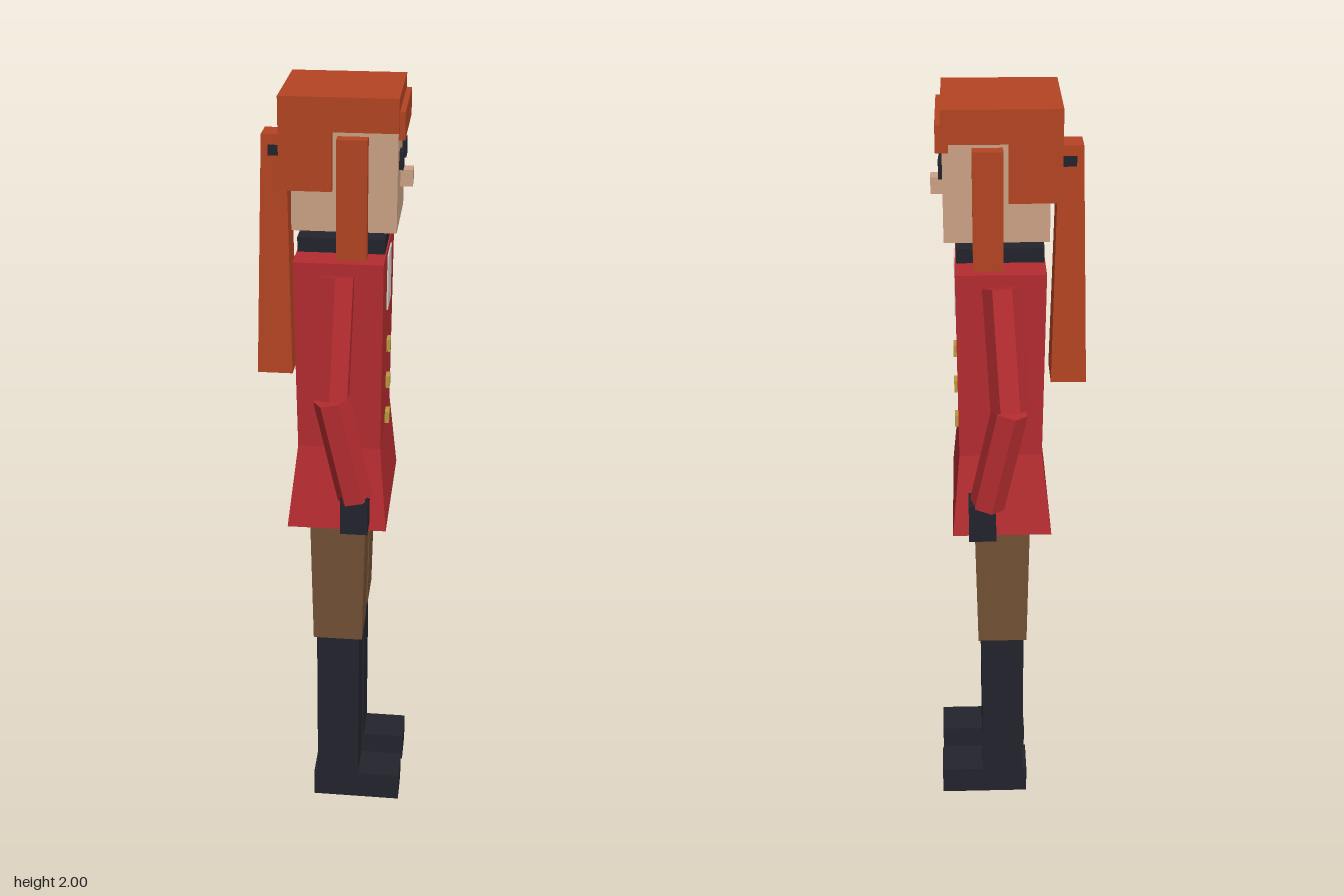
import * as THREE from 'three';

// Blocky standing figure whose face points along +x, so its left side is -z.
export function createModel() {
  const root = new THREE.Group();
  root.name = 'figure';

  const mat = (name, color) => {
    const m = new THREE.MeshStandardMaterial({ color });
    m.name = name;
    return m;
  };
  const hair = mat('auburn hair', 0xb34422);
  const skin = mat('skin', 0xcba184);
  const coat = mat('red coat', 0xb42c30);
  const trousers = mat('brown trousers', 0x715034);
  const dark = mat('dark leather', 0x23232d);
  const gold = mat('brass', 0xba983e);
  const linen = mat('white linen', 0xd2cfc8);

  const add = (name, geometry, material) => {
    const mesh = new THREE.Mesh(geometry, material);
    mesh.name = name;
    root.add(mesh);
    return mesh;
  };

  // Box given by its limits on each axis
  const box = (name, m, [x0, x1], [y0, y1], [z0, z1]) => {
    const mesh = add(name, new THREE.BoxGeometry(x1 - x0, y1 - y0, z1 - z0), m);
    mesh.position.set((x0 + x1) / 2, (y0 + y1) / 2, (z0 + z1) / 2);
    return mesh;
  };

  // Box whose bottom and top rectangles [x0, x1, z0, z1] differ
  const taper = (name, m, y0, bottom, y1, top) => {
    const g = new THREE.BoxGeometry(1, 1, 1);
    const p = g.attributes.position;
    for (let i = 0; i < p.count; i++) {
      const r = p.getY(i) < 0 ? bottom : top;
      p.setXYZ(i, p.getX(i) < 0 ? r[0] : r[1], p.getY(i) < 0 ? y0 : y1, p.getZ(i) < 0 ? r[2] : r[3]);
    }
    g.computeVertexNormals();
    return add(name, g, m);
  };

  // Six-sided sleeve section between two points
  const sleeve = (name, from, to, radius, twist) => {
    const a = new THREE.Vector3(...from);
    const b = new THREE.Vector3(...to);
    const dir = a.clone().sub(b);
    const g = new THREE.CylinderGeometry(radius, radius, dir.length(), 6).toNonIndexed();
    g.rotateY(twist);
    g.computeVertexNormals();
    const mesh = add(name, g, coat);
    mesh.position.copy(a).add(b).multiplyScalar(0.5);
    mesh.quaternion.setFromUnitVectors(new THREE.Vector3(0, 1, 0), dir.normalize());
  };

  // Head and face
  box('head', skin, [-0.095, 0.155], [1.68, 1.95], [-0.122, 0.118]);
  box('nose', skin, [0.15, 0.185], [1.765, 1.805], [-0.021, 0.019]);
  box('neck', skin, [-0.02, 0.07], [1.6, 1.69], [-0.041, 0.039]);

  // Hair
  box('hairBack', hair, [-0.122, 0.003], [1.78, 2], [-0.138, 0.132]);
  box('hairTop', hair, [0.003, 0.157], [1.92, 2], [-0.138, 0.132]);
  box('fringe', hair, [0.14, 0.17], [1.9, 1.966], [-0.134, 0.111]);
  taper('ponytail', hair, 1.28, [-0.195, -0.106, -0.059, 0.053],
    1.885, [-0.177, -0.118, -0.037, 0.03]);
  box('ponytailTie', dark, [-0.161, -0.118], [1.835, 1.86], [-0.041, 0.035]);

  // Coat, collar and shirt front
  const waist = [-0.08, 0.127, -0.162, 0.158];
  taper('coatBody', coat, 1.13, waist, 1.62, [-0.086, 0.13, -0.178, 0.175]);
  taper('coatSkirt', coat, 0.915, [-0.105, 0.147, -0.2, 0.196], 1.13, waist);
  box('collar', dark, [-0.084, 0.127], [1.6, 1.656], [-0.1, 0.097]);
  box('shirtFront', linen, [0.125, 0.133], [1.46, 1.6], [-0.051, 0.049]);
  for (const y of [1.15, 1.25, 1.35]) {
    box('button', gold, [0.115, 0.138], [y - 0.016, y + 0.016], [-0.017, 0.015]);
  }

  // Paired parts
  for (const [side, s] of [['left', -1], ['right', 1]]) {
    const span = (near, far) => (s > 0 ? [near, far] : [-far, -near]).map((z) => z - 0.002);

    box(side + 'Eye', dark, [0.15, 0.165], [1.82, 1.862], span(0.033, 0.076));
    box(side + 'SideLock', hair, [0.015, 0.087], [1.57, 1.908], span(0.113, 0.153));

    // Arm
    const elbow = s > 0 ? [0.014, 1.305, 0.25] : [0.003, 1.305, -0.257];
    const wrist = s > 0 ? [0.073, 1.035, 0.242] : [0.06, 1.035, -0.244];
    sleeve(side + 'UpperSleeve', [0.02, 1.59, s * 0.178], elbow, 0.047, s > 0 ? 0 : Math.PI / 6);
    sleeve(side + 'LowerSleeve', elbow, wrist, 0.045, s > 0 ? Math.PI / 6 : 0.26);
    box(side + 'Glove', dark, [0.038, 0.106], [0.945, 1.047], span(0.206, 0.274));

    // Leg
    const [t0, t1] = span(0.018, 0.161);
    taper(side + 'TrouserLeg', trousers, 0.55, [-0.045, 0.085, t0 + 0.005, t1 - 0.005],
      0.95, [-0.052, 0.092, t0, t1]);
    box(side + 'BootShaft', dark, [-0.037, 0.077], [0.062, 0.56], span(0.032, 0.148));
    box(side + 'BootFoot', dark, [-0.048, 0.192], [0, 0.082], span(0.04, 0.141));
  }

  return root;
}
